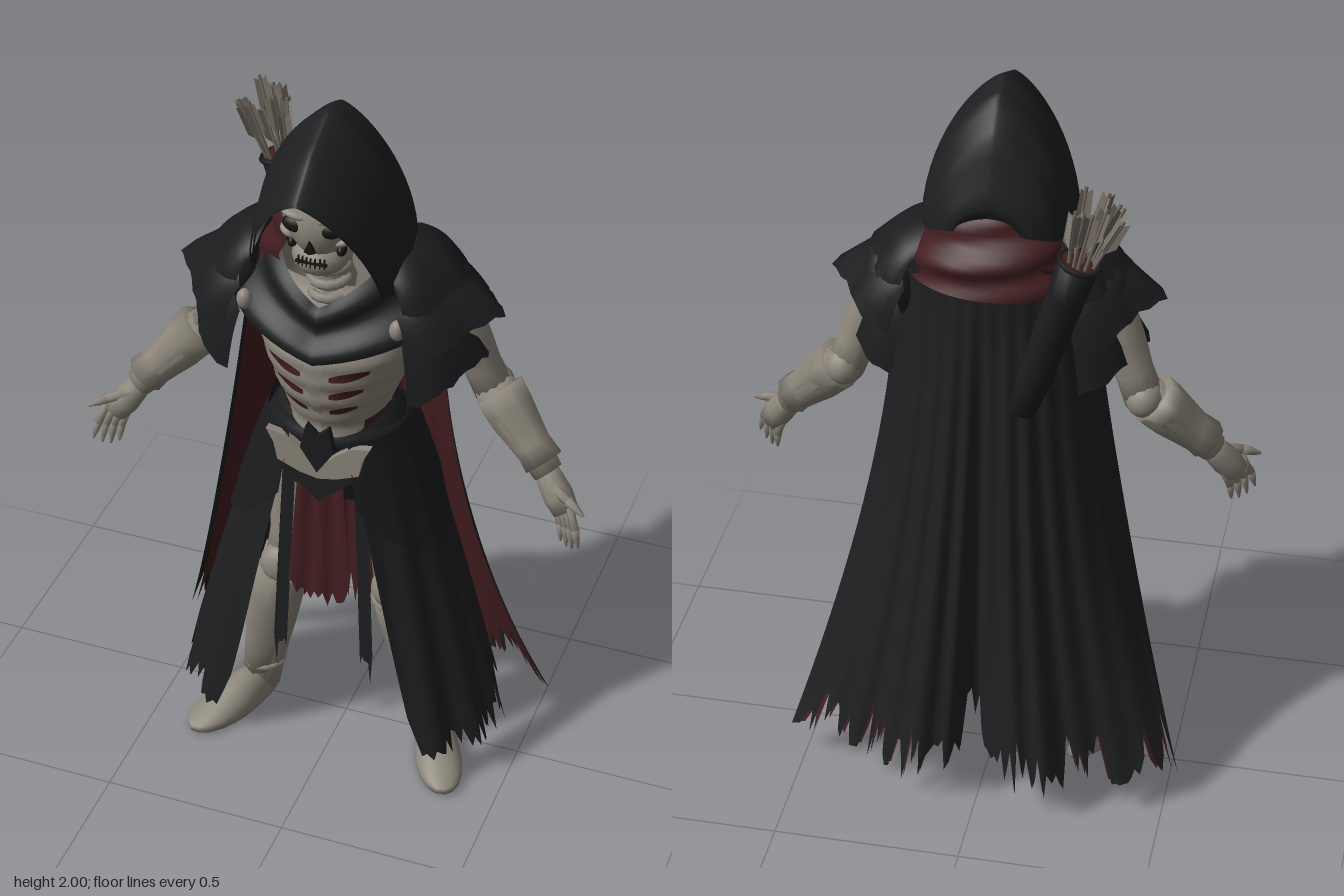
import * as THREE from 'three';

const mat = (name, color) => new THREE.MeshStandardMaterial({ name, color, side: THREE.DoubleSide });
const cloth = mat('black cloth', 0x1d1e1f), armour = mat('dark armour', 0x1a1b1d), red = mat('red lining', 0x421d20),
  bone = mat('bone', 0x8b8579), dark = mat('hollow', 0x181512), feather = mat('feather', 0x736c61);

const { sin, cos, abs, max, min, PI, pow } = Math;
const lerp = THREE.MathUtils.lerp, rad = THREE.MathUtils.degToRad;
const V = (p) => new THREE.Vector3(...p);
// Reads a value from evenly spaced keys, t from 0 to 1
const ramp = (k, t) => {
  const s = min(max(t, 0), 0.9999) * (k.length - 1), i = Math.floor(s);
  return lerp(k[i], k[i + 1], s - i);
};
function mesh(parent, name, geo, m, pos = [0, 0, 0], scale = [1, 1, 1]) {
  const o = new THREE.Mesh(geo, m);
  o.name = name;
  o.position.set(...pos);
  o.scale.set(...scale);
  parent.add(o);
  return o;
}
// Surface from f(u, v, r); r is a seeded random value for each column, used for torn hems
function sheet(parent, name, m, nu, nv, f, seed = 7) {
  const pos = [], idx = [];
  for (let i = 0; i <= nu; i++) {
    seed = (seed * 16807) % 2147483647;
    const r = (seed % 1000) / 1000;
    for (let j = 0; j <= nv; j++) {
      pos.push(...f(i / nu, j / nv, r));
      if (i < nu && j < nv) {
        const a = i * (nv + 1) + j, b = a + nv + 1;
        idx.push(a, a + 1, b, b, a + 1, b + 1);
      }
    }
  }
  const g = new THREE.BufferGeometry();
  g.setAttribute('position', new THREE.Float32BufferAttribute(pos, 3));
  g.setIndex(idx);
  g.computeVertexNormals();
  return mesh(parent, name, g, m);
}
// Round limb from a to b with radii spread along it
function limb(parent, name, m, a, b, radii, sides = 12) {
  const d = V(b).sub(V(a)), n = radii.length - 1;
  const pts = radii.map((r, i) => new THREE.Vector2(r, d.length() * i / n));
  pts.unshift(new THREE.Vector2(0, 0));
  pts.push(new THREE.Vector2(0, d.length()));
  const o = mesh(parent, name, new THREE.LatheGeometry(pts, sides), m, a);
  o.quaternion.setFromUnitVectors(new THREE.Vector3(0, 1, 0), d.normalize());
  return o;
}
const ball = (parent, name, m, pos, scale) => mesh(parent, name, new THREE.SphereGeometry(1, 16, 12), m, pos, scale);
function plate(parent, name, m, pts, z, depth) {
  const s = new THREE.Shape(pts.map((p) => new THREE.Vector2(...p)));
  return mesh(parent, name, new THREE.ExtrudeGeometry(s, { depth, bevelEnabled: false }), m, [0, 0, z]);
}

// Ribcage surface: angle from the front, height
const torsoPoint = (a, y, k = 1) => {
  const t = (1.52 - y) / 0.5, rib = 1 + 0.02 * sin(y * 95) * max(0, cos(a));
  const rx = ramp([0.17, 0.2, 0.205, 0.17, 0.13, 0.14], t), rz = ramp([0.1, 0.15, 0.195, 0.18, 0.145, 0.14], t);
  return [rx * sin(a) * k * rib, y, 0.04 + (cos(a) > 0 ? rz : 0.13) * cos(a) * k * rib];
};
const capePoint = (s, y, off) => {
  const u = abs(s), d = max(0, (1.6 - y) / 1.5);
  const low = ramp([-0.23, -0.31, -0.345, -0.335, -0.29, -0.26, -0.245, -0.225, -0.17], u);
  const z = lerp(-0.12 + 0.1 * u * u, low, pow(d, 1.3)) + 0.1 * pow(u, 6) * sin(PI * min(1, d));
  return [(0.25 + 0.285 * pow(d, 1.7)) * s, y, z + 0.01 * sin(s * 36) * min(1, d * 2) * (1 - u * u) + off];
};
const skirtPoint = (a, y, off) => {
  const d = max(0, 1.08 - y), fold = 0.012 * sin(a * 17) * d + off, front = cos(a) > 0;
  return [(0.18 + 0.28 * pow(d, 0.85) + fold) * sin(a), y, 0.01 + (lerp(front ? 0.2 : 0.13, front ? 0.285 : 0.25, d) + fold) * cos(a)];
};

function buildHead(g) {
  // Skull tapering toward the jaw
  const sk = new THREE.SphereGeometry(1, 24, 18), p = sk.attributes.position;
  for (let i = 0; i < p.count; i++) if (p.getY(i) < 0) p.setX(i, p.getX(i) * (1 + 0.35 * p.getY(i)));
  sk.computeVertexNormals();
  mesh(g, 'skull', sk, bone, [0, 1.73, 0.145], [0.103, 0.115, 0.11]);
  ball(g, 'jaw', bone, [0, 1.632, 0.173], [0.072, 0.052, 0.075]);
  mesh(g, 'mouth line', new THREE.BoxGeometry(0.08, 0.006, 0.008), dark, [0, 1.642, 0.244]);
  for (let i = -3; i <= 3; i++) mesh(g, 'tooth gap', new THREE.BoxGeometry(0.003, 0.026, 0.006), dark, [i * 0.011, 1.643, 0.247 - abs(i) * 0.002]);
  plate(g, 'nose hollow', dark, [[-0.014, 1.678], [0, 1.672], [0.014, 1.678], [0, 1.712]], 0.248, 0.009);
  for (const s of [-1, 1]) {
    ball(g, 'eye socket', dark, [s * 0.044, 1.737, 0.231], [0.034, 0.022, 0.02]).rotation.z = s * 0.15;
    ball(g, 'brow', bone, [s * 0.042, 1.766, 0.231], [0.042, 0.012, 0.022]).rotation.z = s * 0.2;
    ball(g, 'cheekbone', bone, [s * 0.068, 1.697, 0.2], [0.028, 0.014, 0.028]).rotation.z = s * 0.4;
    ball(g, 'cheek hollow', dark, [s * 0.063, 1.668, 0.201], [0.012, 0.016, 0.02]);
  }
  limb(g, 'neck', bone, [0, 1.42, 0.08], [0, 1.64, 0.11], [0.06, 0.05, 0.06, 0.048, 0.056, 0.045]);
  for (const y of [1.49, 1.53, 1.57]) mesh(g, 'neck bone', new THREE.TorusGeometry(0.045, 0.013, 6, 14), bone, [0, y, 0.12]).rotation.x = PI / 2;
  // Hood: pointed arches from the front rim to the nape
  const arch = (off) => (u, v) => {
    const a = u * PI, h = sin(a), c = cos(a);
    const ya = ramp([1.865, 1.945, 2, 1.975, 1.89, 1.74, 1.67], v), za = ramp([0.345, 0.245, 0.12, 0.03, -0.035, -0.085, -0.06], v);
    const yb = ramp([1.55, 1.54, 1.57, 1.61, 1.64, 1.66, 1.65], v), zb = ramp([0.2, 0.145, 0.075, 0, -0.05, -0.085, -0.06], v);
    const w = ramp([0.17, 0.192, 0.205, 0.188, 0.155, 0.1, 0.07], v) - off;
    return [w * Math.sign(c) * pow(abs(c), 1.45), lerp(yb, ya - off, h), lerp(zb, za, h)];
  };
  sheet(g, 'hood', cloth, 32, 24, arch(0));
  sheet(g, 'hood lining', armour, 32, 24, arch(0.008));
  // Scarf, open toward the face
  sheet(g, 'scarf', red, 40, 12, (u, v) => {
    const a = rad(36 + 288 * u), c = cos(a), roll = 0.009 * sin(v * 14 + a * 2);
    return [(lerp(0.135, 0.235, v) + roll) * sin(a), lerp(1.71, 1.51, v),
      0.02 + (c > 0 ? lerp(0.19, 0.13, v) : lerp(0.08, 0.165, min(1, v * 1.6)) + roll) * c];
  });
}

function buildTorso(g) {
  sheet(g, 'ribcage', bone, 40, 36, (u, v) => torsoPoint(u * 2 * PI, 1.52 - 0.5 * v));
  for (const s of [-1, 1]) {
    [1.36, 1.295, 1.235, 1.175].forEach((y, i) => sheet(g, 'rib gap', red, 8, 2, (u, v) =>
      torsoPoint(s * rad(lerp(11, 42 - i * 2, u)), y + 0.02 * u + (v - 0.5) * 0.028 * sin(PI * (0.15 + 0.7 * u)), 1.02)));
    sheet(g, 'flank cloth', red, 6, 6, (u, v) => torsoPoint(s * rad(lerp(48, 95, u)), lerp(1.16, 1.06, v) - 0.03 * (1 - u), 1.03));
    ball(g, 'mantle clasp', bone, [s * 0.2, 1.455, 0.185], [0.02, 0.028, 0.02]);
  }
  sheet(g, 'breastbone', bone, 6, 10, (u, v) => torsoPoint(rad((u - 0.5) * lerp(14, 9, v)), lerp(1.36, 1.17, v), 1.025));
  // Draped mantle with a pointed front
  sheet(g, 'mantle', cloth, 48, 18, (u, v) => {
    const a = (u - 0.5) * 2 * PI, c = cos(a), roll = 0.012 * sin(v * 3 * PI);
    const peak = pow(max(0, 1 - abs(a) / (PI / 2)), 1.1);
    return [(lerp(0.15, 0.29, v) + roll) * sin(a), lerp(1.62, 1.46, v) - lerp(0.14, 0.12, v) * peak,
      0.02 + (c > 0 ? lerp(0.175, 0.225, v) + roll : lerp(0.09, 0.11, v)) * c];
  });
  // Waist, belt and buckle
  const hip = [[0.8, 1.13], [1, 1.09], [1.08, 1.02], [1.05, 0.94], [0.85, 0.86]].map(([r, y]) => new THREE.Vector2(r, y));
  mesh(g, 'waist', new THREE.LatheGeometry(hip, 28), cloth, [0, 0, 0.03], [0.17, 1, 0.14]);
  mesh(g, 'belt', new THREE.TorusGeometry(1, 0.12, 8, 32), armour, [0, 1.06, 0.03], [0.165, 0.142, 0.26]).rotation.x = PI / 2;
  for (const s of [-1, 1]) {
    const wing = [[0, 0.965], [0.05, 0.975], [0.11, 1.0], [0.12, 1.05], [0.14, 1.09], [0.09, 1.08], [0.05, 1.05], [0, 1.0]].map(([x, y]) => [s * x, y]);
    plate(g, 'buckle wing', bone, wing, 0.188, 0.022);
  }
  plate(g, 'buckle', armour, [[0, 0.99], [0.045, 1.06], [0.03, 1.13], [0, 1.1], [-0.03, 1.13], [-0.045, 1.06]], 0.195, 0.023);
  plate(g, 'apron point', cloth, [[0, 0.89], [0.11, 0.99], [0, 1.02], [-0.11, 0.99]], 0.192, 0.015);
  sheet(g, 'tabard', red, 14, 8, (u, v, r) =>
    [(u - 0.5) * lerp(0.12, 0.17, v), lerp(0.99, 0.57 + 0.06 * r - 0.03 * sin(PI * u), v), 0.19 + 0.02 * v + 0.005 * sin(u * 15)]);
}

function buildCape(g) {
  const hem = (s, r) => 0.1 + 0.1 * max(0, 1 - abs(s) / 0.2) + 0.17 * r * r;
  // Lining stops short of the black border
  for (const [name, m, off, wide] of [['cape', cloth, 0, 1], ['cape lining', red, 0.008, 0.975]])
    sheet(g, name, m, 96, 20, (u, v, r) => {
      const s = (u * 2 - 1) * wide;
      return capePoint(s, lerp(1.6 - 0.06 * s * s, hem(s, r) + off, v), off);
    }, 41);
}

// Everything that appears on both sides, built at +x
function buildSide(g) {
  // Torn skirt, short overskirt and thigh strip
  sheet(g, 'skirt', cloth, 48, 16, (u, v, r) => {
    const y = lerp(1.08, 0.1 + 0.16 * r * r, v);
    return skirtPoint(rad(lerp(25 + 15 * (1.08 - y), 132, u)), y, 0);
  }, 99);
  sheet(g, 'overskirt', armour, 24, 10, (u, v) => {
    const y = lerp(1.09, 0.9 - 0.17 * sin(PI * min(1, u * 1.1)), v);
    return skirtPoint(rad(lerp(24, 118, u)), y, 0.012);
  });
  sheet(g, 'thigh strip', cloth, 6, 8, (u, v, r) =>
    [lerp(0.08, 0.105, v) + u * 0.035, lerp(0.95, 0.28 + 0.12 * r, v), 0.16 + 0.02 * v], 23);
  // Leg
  limb(g, 'thigh', bone, [0.1, 0.96, 0.02], [0.155, 0.54, 0.05], [0.075, 0.08, 0.07, 0.055, 0.055]);
  limb(g, 'shin', bone, [0.155, 0.57, 0.05], [0.25, 0.04, -0.01], [0.058, 0.066, 0.07, 0.064, 0.056, 0.05, 0.048]);
  limb(g, 'greave', bone, [0.165, 0.52, 0.075], [0.255, 0.11, 0.025], [0.06, 0.064, 0.06, 0.05, 0.04], 6);
  ball(g, 'kneecap', bone, [0.157, 0.55, 0.085], [0.055, 0.06, 0.045]);
  mesh(g, 'knee rim', new THREE.TorusGeometry(0.065, 0.01, 6, 16), bone, [0.165, 0.5, 0.05]).rotation.x = PI / 2;
  mesh(g, 'ankle rim', new THREE.TorusGeometry(0.054, 0.01, 6, 16), bone, [0.242, 0.13, 0.003]).rotation.x = PI / 2;
  // Foot: flat sole, high instep, low toe
  const fg = new THREE.SphereGeometry(1, 20, 14), p = fg.attributes.position;
  for (let i = 0; i < p.count; i++) {
    const z = p.getZ(i), y = p.getY(i);
    p.setXYZ(i, p.getX(i) * (0.062 + 0.015 * z), y < 0 ? max(0, 0.02 + y * 0.06) : 0.02 + y * (0.07 - 0.045 * z), z * 0.168);
  }
  fg.computeVertexNormals();
  mesh(g, 'foot', fg, bone, [0.297, 0, 0.09]).rotation.y = 0.45;
  // Layered shoulder plates: inner and outer edge, depth and peak
  [[0.17, 1.64, 0.31, 1.55, 0.165, 0.02], [0.22, 1.58, 0.375, 1.47, 0.19, 0.055], [0.25, 1.5, 0.365, 1.34, 0.175, 0.025]].forEach(([x0, y0, x1, y1, d, peak]) =>
    sheet(g, 'shoulder plate', armour, 20, 6, (u, v, r) => {
      const a = rad(lerp(-85, 85, u)), c = cos(a);
      return [0.2 + (lerp(x0, x1, v) - 0.2) * pow(c, 0.6) + peak * v * v * max(0, 1 - abs(a) * 2),
        lerp(y0, y1, v) - 0.09 * (1 - c) + 0.02 * sin(v * PI) - (v === 1 ? 0.015 * r : 0), 0.04 + d * sin(a) * (0.85 + 0.15 * v)];
    }, 61));
  ball(g, 'shoulder padding', cloth, [0.265, 1.46, 0.03], [0.085, 0.11, 0.13]);
  // Arm
  limb(g, 'upper arm', bone, [0.27, 1.48, 0.02], [0.39, 1.19, -0.02], [0.058, 0.062, 0.058, 0.05, 0.052]);
  ball(g, 'elbow', bone, [0.39, 1.2, -0.025], [0.05, 0.052, 0.058]);
  limb(g, 'forearm', bone, [0.38, 1.21, -0.02], [0.56, 1.02, 0.05], [0.05, 0.062, 0.06, 0.052, 0.045, 0.04]);
  limb(g, 'bracer', bone, [0.405, 1.195, -0.01], [0.545, 1.045, 0.045], [0.07, 0.066, 0.058, 0.05, 0.055], 8);
  // Hand
  limb(g, 'palm', bone, [0.545, 1.035, 0.045], [0.62, 0.935, 0.082], [0.03, 0.036, 0.04, 0.034], 10);
  for (let i = 0; i < 4; i++) {
    const a = [0.587 + i * 0.016, 0.94 + i * 0.007, 0.06 + i * 0.013], k = [a[0] + 0.02, a[1] - 0.052, a[2] + 0.018];
    const tip = [k[0] + 0.004 + i * 0.003, k[1] - (i % 3 ? 0.058 : 0.048), k[2] + 0.008];
    limb(g, 'finger', bone, a, k, [0.012, 0.01, 0.012], 6);
    limb(g, 'fingertip', bone, k, tip, [0.012, 0.009, 0.003], 6);
  }
  limb(g, 'thumb base', bone, [0.575, 1.0, 0.075], [0.632, 0.985, 0.105], [0.02, 0.015, 0.013], 7);
  limb(g, 'thumb', bone, [0.63, 0.986, 0.104], [0.677, 0.965, 0.125], [0.014, 0.011, 0.004], 7);
}

function buildQuiver(g) {
  const a = [-0.1, 1.21, -0.155], b = [-0.24, 1.66, -0.17];
  limb(g, 'quiver', armour, a, b, [0.036, 0.044, 0.045, 0.047, 0.049, 0.05], 16);
  const dir = V(b).sub(V(a)).normalize();
  const mouth = mesh(g, 'quiver rim', new THREE.TorusGeometry(0.05, 0.007, 6, 18), armour, b);
  mouth.quaternion.setFromUnitVectors(new THREE.Vector3(0, 0, 1), dir);
  limb(g, 'quiver inside', red, b, V(b).addScaledVector(dir, 0.004).toArray(), [0.045, 0.045], 16);
  for (let i = 0; i < 11; i++) {
    const t = i * 2.4, r = i ? 0.03 : 0, x = r * cos(t), z = r * sin(t);
    const from = [b[0] + x, b[1] - 0.02, b[2] + z], to = [b[0] - 0.045 + x * 2.1, 1.79 + 0.018 * (i % 4), b[2] + z * 1.9];
    const shaft = limb(g, 'arrow', feather, from, to, [0.005, 0.005], 5);
    const L = V(to).distanceTo(V(from));
    for (let k = 0; k < 3; k++) {
      const s = new THREE.Shape([[0, L - 0.11], [0.022, L - 0.08], [0.018, L], [0, L - 0.015]].map((q) => new THREE.Vector2(...q)));
      mesh(shaft, 'feather', new THREE.ShapeGeometry(s), k ? feather : bone).rotation.y = k * 2.09 + t;
    }
  }
}

export function createModel() {
  const model = new THREE.Group();
  model.name = 'hooded skeleton archer';
  for (const [name, build] of [['head', buildHead], ['torso', buildTorso], ['cape', buildCape], ['quiver', buildQuiver], ['leftSide', buildSide]]) {
    const part = new THREE.Group();
    part.name = name;
    build(part);
    model.add(part);
  }
  const right = model.getObjectByName('leftSide').clone();
  right.name = 'rightSide';
  right.scale.x = -1;
  model.add(right);
  return model;
}
